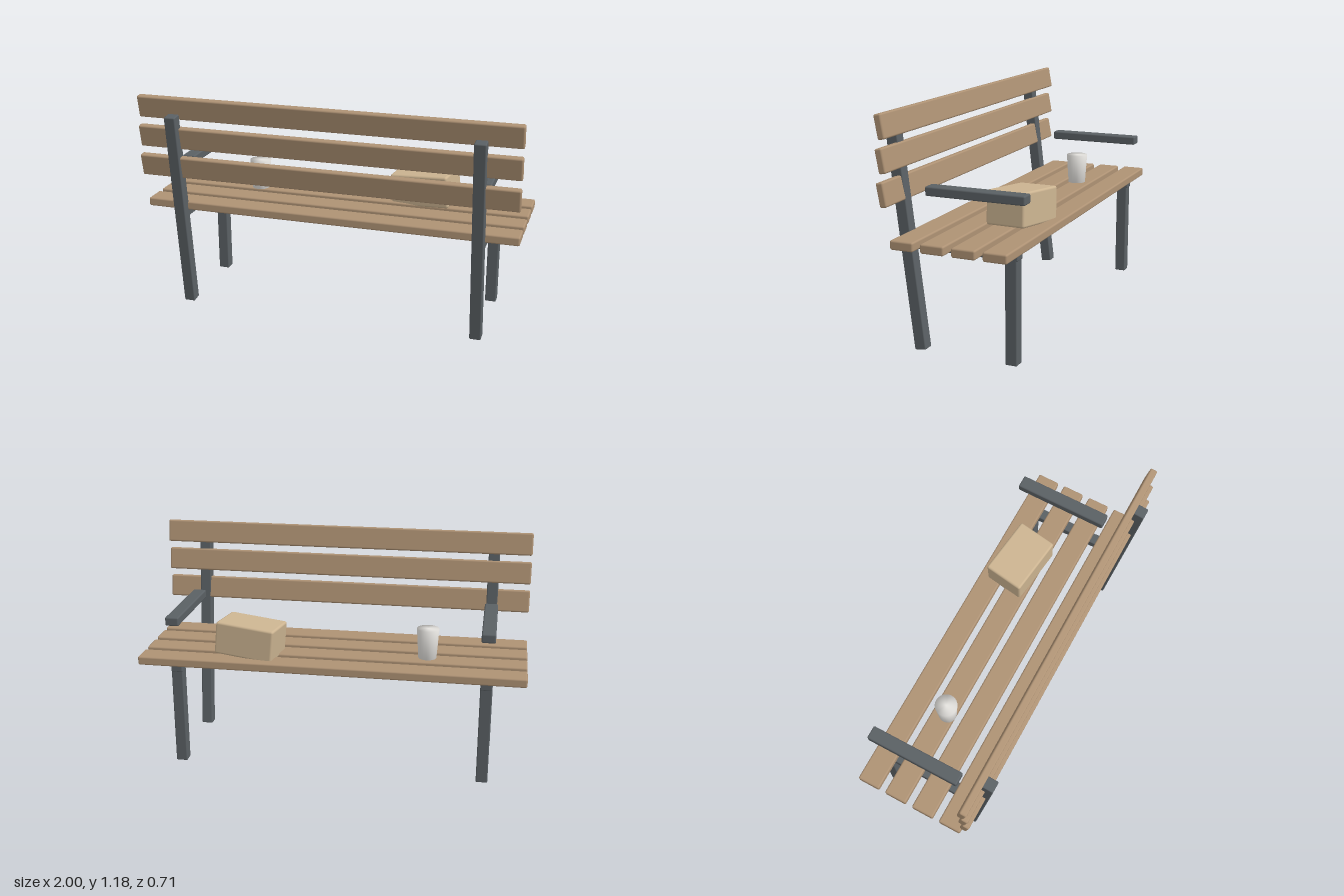
import * as THREE from 'three';
import { RoundedBoxGeometry } from 'three/addons/geometries/RoundedBoxGeometry.js';

const mat = (color) => new THREE.MeshStandardMaterial({ color });

export function createModel() {
  const bench = new THREE.Group();
  bench.name = 'bench';
  const wood = mat(0xae9274), metal = mat(0x5a6064), card = mat(0xccb491), white = mat(0xe6e4e0);

  // Softly rounded bar, placed by its centre
  function bar(name, size, pos, material, rot = [0, 0, 0], radius = 0.006) {
    const mesh = new THREE.Mesh(new RoundedBoxGeometry(...size, 2, radius), material);
    mesh.name = name;
    mesh.position.set(...pos);
    mesh.rotation.set(...rot);
    bench.add(mesh);
    return mesh;
  }

  // Seat slats
  [0.19, 0.033, -0.125, -0.282].forEach((z, i) =>
    bar(`seatSlat${i + 1}`, [2, 0.046, 0.12], [0, 0.574, z], wood, [0, 0, 0], 0.009));

  // Backrest slats, leaning back
  [0.804, 0.962, 1.12].forEach((y, i) =>
    bar(`backSlat${i + 1}`, [2, 0.118, 0.038], [0, y, 0.287], wood, [0.18, 0, 0], 0.009));

  // Metal frame on each side
  for (const [side, x] of [['left', 0.8], ['right', -0.8]]) {
    bar(`${side}FrontLeg`, [0.06, 0.555, 0.06], [x, 0.2805, -0.283], metal);
    bar(`${side}BackPost`, [0.06, 1.09, 0.06], [x, 0.547, 0.264], metal, [0.12, 0, 0]);
    bar(`${side}SeatRail`, [0.06, 0.046, 0.56], [x, 0.537, -0.038], metal);
    bar(`${side}Armrest`, [0.07, 0.046, 0.507], [x, 0.802, -0.102], metal, [0, 0, 0], 0.008);
  }

  // Parcel resting slightly askew on the seat
  bar('parcel', [0.316, 0.172, 0.216], [0.435, 0.677, -0.167], card, [0.035, -0.14, 0.085], 0.012);

  // Tapered cup, closed on top with smooth shading
  const profile = [[0, 0.596], [0.047, 0.596], [0.058, 0.755], [0, 0.755]]
    .map(([r, y]) => new THREE.Vector2(r, y));
  const cup = new THREE.Mesh(new THREE.LatheGeometry(profile, 32), white);
  cup.name = 'cup';
  cup.position.set(-0.487, 0, -0.105);
  bench.add(cup);

  return bench;
}
